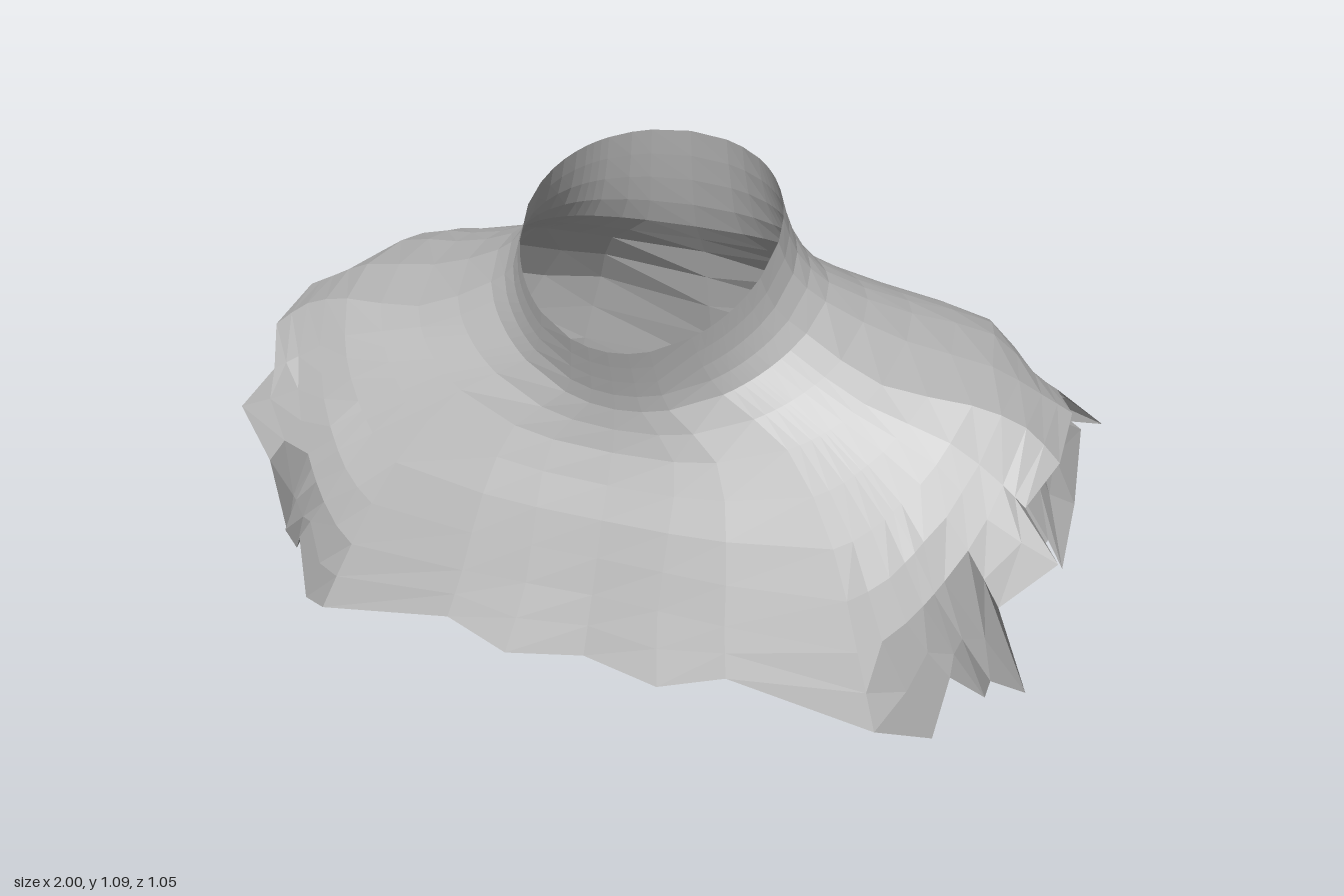
import * as THREE from 'three';

const V = ([x, y, z]) => new THREE.Vector3(x, y, z);
const power = (n, p) => Math.sign(n) * Math.abs(n) ** p;

// Tilted, saddle-shaped ring: half width, depth centre, half depth, height, tilt, side lift, roundness.
// The angle t runs from the front (0) over the left side to the back (PI).
const ring = (rx, zc, rz, y, tilt, lift, p) => t => {
  const s = Math.sin(t), c = Math.cos(t);
  return new THREE.Vector3(rx * power(s, p), y - tilt * c + lift * s * s, zc + rz * power(c, p));
};
const collarRim = ring(.29, .04, .28, .945, .14, .035, 1);
const collarMiddle = ring(.32, .02, .275, .838, .118, .06, 1);
const collarBase = ring(.39, -.005, .285, .73, .09, .1, 1);
const shoulder = ring(.57, -.03, .33, .63, .09, .12, .75);

// Ring just above the hem, front to back
const lowerCurve = new THREE.CatmullRomCurve3([
  [0, .25, .44], [.31, .25, .45], [.6, .24, .43], [.79, .45, .28], [.86, .65, .08], [.87, .65, -.07],
  [.83, .62, -.22], [.83, .5, -.34], [.79, .27, -.43], [.38, .33, -.51], [0, .35, -.45],
].map(V));
const lower = t => lowerCurve.getPoint(t / Math.PI);

// Chest and upper arm lie between shoulder and lower ring, with fuller arms and shoulder blades
const middle = t => {
  const s = Math.sin(t), blade = Math.max(0, -Math.cos(t)) * s;
  return shoulder(t).lerp(lower(t), .5).add(new THREE.Vector3(.04 * s, .01, -.18 * blade));
};
const rings = [collarRim, collarMiddle, collarBase, shoulder, middle, lower];

// Torn hem: position along the rings (0 front, 10 back), then x, y, z
const hem = [
  [0, 0, .125, .5], [.5, .18, .105, .525], [1, .33, .15, .5], [2, .66, .085, .49],
  [2.2, .77, .01, .385], [2.4, .79, .16, .35], [2.55, .86, .05, .26], [2.65, .87, .12, .285],
  [2.75, .94, .012, .17], [3, .87, .34, .31], [3.25, .975, .43, .24],
  [3.5, .89, .535, .21], [4, .94, .59, .1], [5, .94, .61, -.08],
  [5.7, .89, .585, -.215], [6.2, 1, .5, -.237], [6.6, .9, .47, -.27], [7, .95, .42, -.33],
  [7.3, .96, .2, -.34], [7.5, .955, .02, -.315], [7.7, .91, .08, -.34],
  [7.9, .87, 0, -.335], [8.5, .65, .09, -.475], [9, .42, .145, -.53], [10, 0, .17, -.455],
];

export function createModel() {
  const cloth = new THREE.MeshStandardMaterial({ color: 0xb2b2b2, flatShading: true, side: THREE.DoubleSide });
  cloth.name = 'grey cloth';

  // One curve per column, running from the collar rim to the hem
  const steps = 12;
  const half = hem.map(([u, ...end]) => {
    const t = u / 10 * Math.PI;
    return new THREE.CatmullRomCurve3([...rings.map(r => r(t)), V(end)]).getPoints(steps);
  });
  const mirrored = half.slice(1, -1).reverse()
    .map(col => col.map(p => new THREE.Vector3(-p.x, p.y, p.z)));
  const columns = [...half, ...mirrored];

  // Join neighbouring columns into a closed loop
  const index = [];
  const row = steps + 1;
  columns.forEach((_, i) => {
    const a = i * row, b = ((i + 1) % columns.length) * row;
    for (let j = 0; j < steps; j++) {
      index.push(a + j, a + j + 1, b + j, b + j, a + j + 1, b + j + 1);
    }
  });
  const geometry = new THREE.BufferGeometry().setFromPoints(columns.flat());
  geometry.setIndex(index);
  geometry.computeVertexNormals();

  const mantle = new THREE.Mesh(geometry, cloth);
  mantle.name = 'tornShoulderMantle';
  const group = new THREE.Group();
  group.name = 'shoulderGarment';
  group.add(mantle);
  return group;
}
